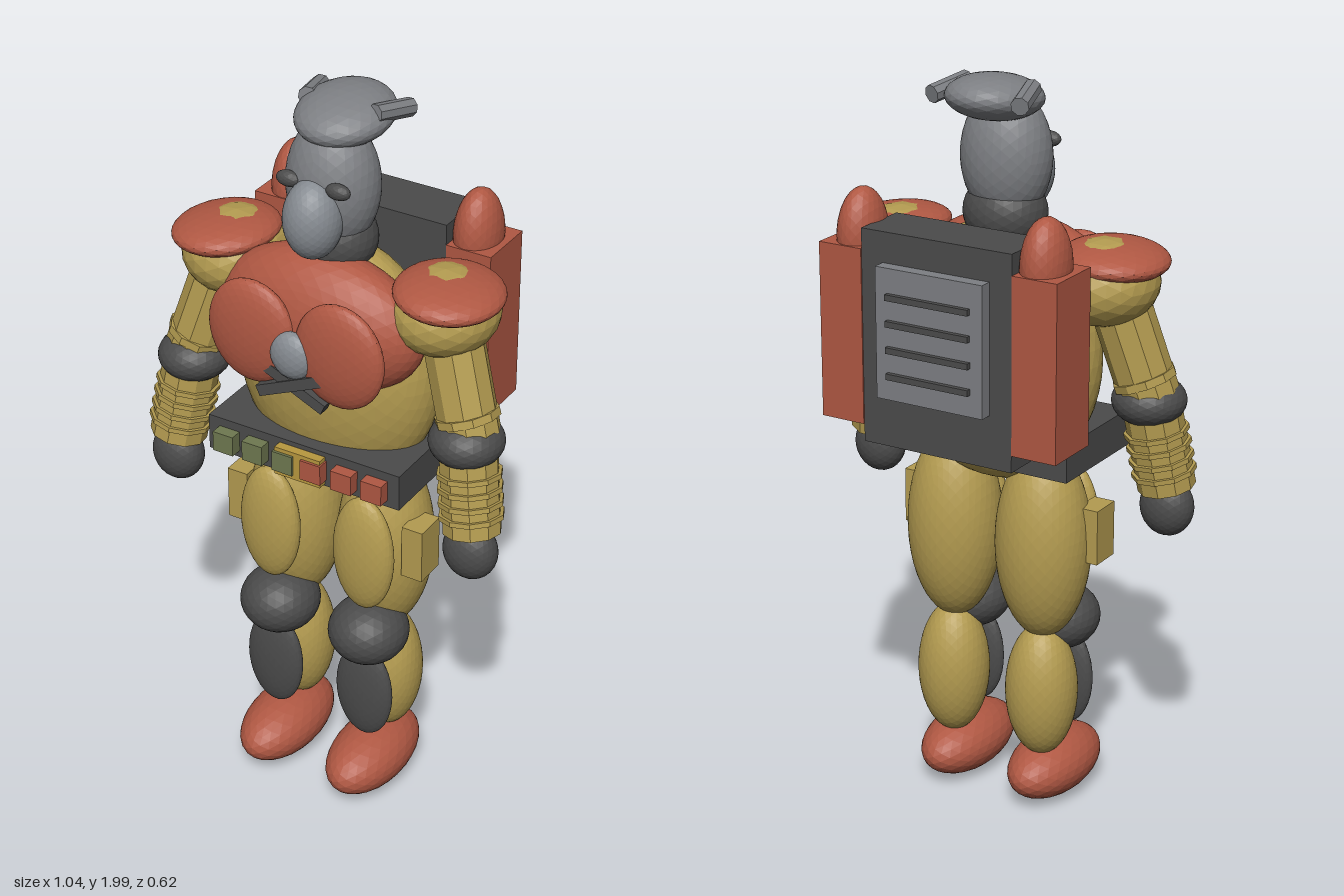
import * as THREE from 'three';

const mat = (name, color) => {
  const m = new THREE.MeshStandardMaterial({ color, flatShading: true });
  m.name = name;
  return m;
};

export function createModel() {
  const olive = mat('olive suit', 0xb39b50);
  const red = mat('rust armour', 0xb05843);
  const dark = mat('dark rubber', 0x4b4b4b);
  const grey = mat('grey mask', 0x7d7f83);
  const light = mat('light grey', 0x868b91);
  const green = mat('green pouch', 0x6f7850);
  const gold = mat('buckle gold', 0xb8983f);

  const model = new THREE.Group();
  model.name = 'figure';

  const add = (name, geo, material, pos) => {
    const m = new THREE.Mesh(geo, material);
    m.name = name;
    m.position.set(...pos);
    model.add(m);
    return m;
  };
  // Faceted ellipsoid given by its centre and three radii
  const blob = (name, material, pos, radii, detail = 4) =>
    add(name, new THREE.IcosahedronGeometry(1, detail).scale(...radii), material, pos);
  const box = (name, material, pos, size) =>
    add(name, new THREE.BoxGeometry(...size), material, pos);
  // Few-sided cylinder between two points
  const up = new THREE.Vector3(0, 1, 0);
  const limb = (name, material, a, b, ra, rb, sides = 10) => {
    const p = new THREE.Vector3(...a), q = new THREE.Vector3(...b);
    const d = q.clone().sub(p);
    const m = add(name, new THREE.CylinderGeometry(rb, ra, d.length(), sides), material,
      p.add(q).multiplyScalar(0.5).toArray());
    m.quaternion.setFromUnitVectors(up, d.normalize());
    return m;
  };

  // Torso
  blob('torso', olive, [0, 1.27, 0.05], [0.287, 0.345, 0.165], 7);
  blob('pelvis', olive, [0, 1.04, 0.05], [0.21, 0.12, 0.13], 5);
  blob('chestPlate', red, [0, 1.425, 0.13], [0.29, 0.19, 0.13], 6);
  blob('chestEmblem', light, [0, 1.385, 0.272], [0.061, 0.065, 0.034], 3);

  // Belt
  box('belt', dark, [0, 1.05, 0.065], [0.566, 0.1, 0.33]);
  box('buckle', gold, [0, 1.047, 0.243], [0.135, 0.08, 0.026]);
  [-0.22, -0.132, -0.042, 0.042, 0.132, 0.22].forEach((x, i) =>
    box('beltPouch', i < 3 ? green : red, [x, 1.048, 0.245], [0.06, 0.056, 0.036]));

  // Head
  blob('neck', dark, [0, 1.63, 0.07], [0.113, 0.1, 0.1], 4);
  blob('head', grey, [0, 1.775, 0.075], [0.122, 0.175, 0.107], 5);
  blob('snout', light, [0, 1.717, 0.17], [0.075, 0.105, 0.077], 5);
  blob('cap', grey, [0, 1.937, 0.018], [0.122, 0.06, 0.139], 4).rotation.x = 0.12;

  // Backpack
  box('backpack', dark, [0, 1.352, -0.182], [0.436, 0.565, 0.16]);
  box('backPanel', grey, [0, 1.382, -0.279], [0.31, 0.345, 0.036]);
  for (let i = 0; i < 4; i++)
    box('vent', dark, [0, 1.275 + i * 0.069, -0.303], [0.24, 0.016, 0.014]);

  for (const s of [1, -1]) {
    const side = s > 0 ? 'left' : 'right';

    // Legs
    blob(side + 'Thigh', olive, [s * 0.136, 0.76, 0.04], [0.129, 0.27, 0.125], 7);
    blob(side + 'ThighPad', olive, [s * 0.142, 0.78, 0.165], [0.089, 0.17, 0.043], 5);
    box(side + 'ThighPouch', olive, [s * 0.266, 0.8, 0.087], [0.06, 0.15, 0.09]);
    blob(side + 'Knee', dark, [s * 0.138, 0.515, 0.13], [0.108, 0.09, 0.11], 4);
    blob(side + 'Shin', olive, [s * 0.138, 0.335, 0.033], [0.098, 0.19, 0.097], 6);
    blob(side + 'ShinGuard', dark, [s * 0.14, 0.33, 0.155], [0.085, 0.145, 0.031], 5);
    blob(side + 'Foot', red, [s * 0.138, 0.09, 0.105], [0.102, 0.086, 0.184], 4);

    // Arms
    blob(side + 'Shoulder', olive, [s * 0.302, 1.497, 0.05], [0.14, 0.111, 0.148], 3);
    const pad = blob(side + 'ShoulderPad', red, [s * 0.323, 1.557, 0.065], [0.138, 0.046, 0.148], 4);
    pad.rotation.z = -s * 0.07;
    limb(side + 'UpperArm', olive, [s * 0.33, 1.46, 0.065], [s * 0.41, 1.2, 0.1], 0.078, 0.078);
    limb(side + 'UpperCuff', olive, [s * 0.393, 1.255, 0.093], [s * 0.4, 1.235, 0.095], 0.084, 0.084);
    blob(side + 'Elbow', dark, [s * 0.404, 1.185, 0.108], [0.097, 0.067, 0.098], 4);
    const top = [s * 0.412, 1.16, 0.112], end = [s * 0.444, 0.945, 0.14];
    limb(side + 'Forearm', olive, top, end, 0.076, 0.076);
    for (let i = 0; i < 4; i++) {
      const at = t => top.map((v, k) => v + (end[k] - v) * t);
      limb(side + 'SleeveRing', olive, at(0.25 + i * 0.17), at(0.31 + i * 0.17), 0.085, 0.085);
    }
    blob(side + 'Hand', dark, [s * 0.443, 0.89, 0.145], [0.074, 0.081, 0.058], 4);

    // Chest details
    blob(side + 'ChestBulge', red, [s * 0.126, 1.41, 0.255], [0.126, 0.143, 0.041], 5);
    const bar = box(side + 'CrossBar', dark, [0, 1.303, 0.268 + s * 0.002], [0.205, 0.03, 0.034]);
    bar.rotation.z = s * 0.42;

    // Face and cap lugs
    blob(side + 'Eye', dark, [s * 0.07, 1.806, 0.168], [0.034, 0.021, 0.019], 2);
    limb(side + 'CapLug', grey, [s * 0.095, 1.965, 0.04], [s * 0.127, 1.945, -0.075], 0.024, 0.024, 8);

    // Backpack tanks
    box(side + 'Tank', red, [s * 0.282, 1.348, -0.182], [0.126, 0.465, 0.164]);
    blob(side + 'TankDome', red, [s * 0.267, 1.59, -0.181], [0.061, 0.126, 0.079], 4);
  }
  return model;
}
